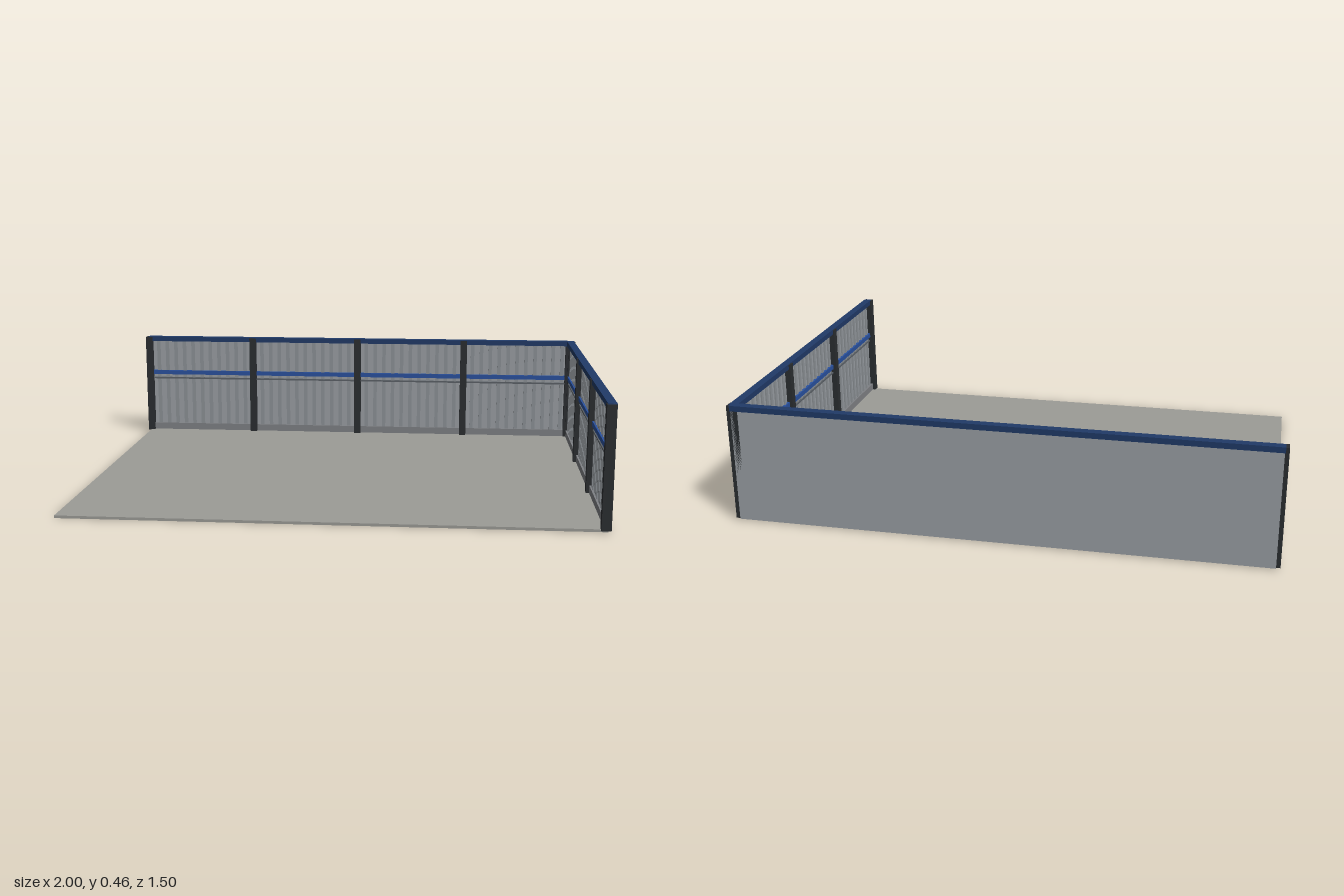
import * as THREE from 'three';

const mat = (color) => new THREE.MeshStandardMaterial({ color });
const M = {
  floor: mat(0x9c9c97),
  panel: mat(0x9ca1a6),
  rib: mat(0x8e9398),
  post: mat(0x2b2e31),
  cap: mat(0x203a68),
  rail: mat(0x2a52a0),
  trim: mat(0x5c6268),
  kick: mat(0x808286),
};

// Box given by its x, y and z ranges
function box(parent, name, material, [x0, x1], [y0, y1], [z0, z1]) {
  const mesh = new THREE.Mesh(new THREE.BoxGeometry(x1 - x0, y1 - y0, z1 - z0), material);
  mesh.position.set((x0 + x1) / 2, (y0 + y1) / 2, (z0 + z1) / 2);
  mesh.name = name;
  parent.add(mesh);
}

// Wall running along x, flat outer face at z = 0, detailed inner side towards +z
function makeWall(name, bays, spacing) {
  const wall = new THREE.Group();
  wall.name = name;
  const half = (bays * spacing) / 2;
  const span = [-half, half];
  box(wall, 'panel', M.panel, span, [0.005, 0.44], [0, 0.013]);
  box(wall, 'topCap', M.cap, [-half - 0.003, half + 0.003], [0.434, 0.455], [-0.001, 0.031]);
  box(wall, 'midRail', M.rail, span, [0.275, 0.294], [0.01, 0.024]);
  box(wall, 'trimStrip', M.trim, span, [0.254, 0.261], [0.01, 0.021]);
  box(wall, 'kickBoard', M.kick, span, [0.008, 0.04], [0.01, 0.024]);

  for (let i = 0; i <= bays; i++) {
    const x = -half + i * spacing;
    box(wall, 'post', M.post, [x - 0.015, x + 0.015], [0.008, 0.453], [0.001, 0.036]);
    if (i === bays) break;
    // Vertical ribs of the cladding between two posts
    const ribs = 11;
    for (let r = 1; r <= ribs; r++) {
      const rx = x + (r * spacing) / (ribs + 1);
      box(wall, 'rib', M.rib, [rx - 0.008, rx + 0.008], [0.03, 0.436], [0.01, 0.018]);
    }
  }
  return wall;
}

export function createModel() {
  const model = new THREE.Group();
  model.name = 'walledCorner';

  box(model, 'floorSlab', M.floor, [-0.985, 0.985], [0, 0.01], [-0.735, 0.735]);

  const back = makeWall('backWall', 4, 0.4925);
  back.position.z = -0.75;
  model.add(back);

  // Side wall turned so that its inner side faces -x
  const side = makeWall('leftWall', 3, 0.49);
  side.rotation.y = -Math.PI / 2;
  side.position.x = 0.994;
  model.add(side);

  return model;
}
